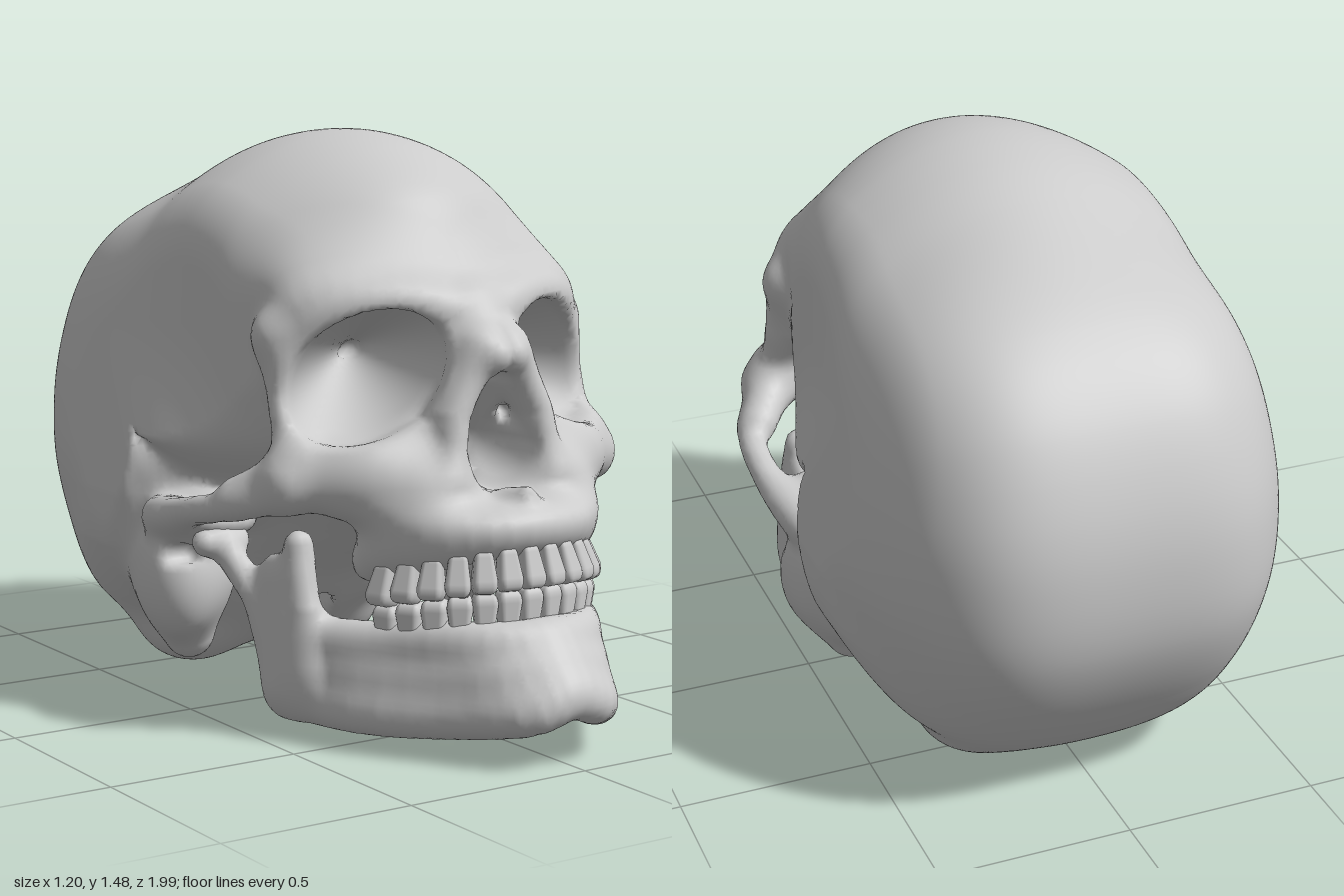
import * as THREE from 'three';
import { RoundedBoxGeometry } from 'three/addons/geometries/RoundedBoxGeometry.js';

const bone = new THREE.MeshStandardMaterial({ color: 0xcccccc, roughness: 0.8 });
const { lerp, smoothstep, clamp } = THREE.MathUtils;

// Distance helpers: negative inside, points are [x, y, z]
const ellipsoid = (p, c, r) =>
  (Math.hypot((p[0] - c[0]) / r[0], (p[1] - c[1]) / r[1], (p[2] - c[2]) / r[2]) - 1) * Math.min(...r);
function capsule(p, a, b, ra, rb = ra) {
  const dx = b[0] - a[0], dy = b[1] - a[1], dz = b[2] - a[2];
  const px = p[0] - a[0], py = p[1] - a[1], pz = p[2] - a[2];
  const t = clamp((px * dx + py * dy + pz * dz) / (dx * dx + dy * dy + dz * dz), 0, 1);
  return Math.hypot(px - dx * t, py - dy * t, pz - dz * t) - lerp(ra, rb, t);
}
function chain(p, points, r) {
  let d = Infinity;
  for (let i = 1; i < points.length; i++) d = Math.min(d, capsule(p, points[i - 1], points[i], r));
  return d;
}
function blend(a, b, k) {
  const h = Math.max(k - Math.abs(a - b), 0) / k;
  return Math.min(a, b) - h * h * k * 0.25;
}
const carve = (a, hole, k) => -blend(-a, hole, k);

// Smooth curve through points, running level across the midline when it starts there
function curved(points) {
  const [x, y, z] = points[1];
  const all = points[0][0] === 0 ? [[-x, y, z], ...points] : points;
  return new THREE.CatmullRomCurve3(all.map((p) => new THREE.Vector3(...p))).getPoints(16).map((p) => p.toArray());
}

// Smooth skin over a distance field: one vertex per crossed cell, one quad per crossed edge
function skin(name, field, min, max, h) {
  const n = min.map((m, i) => Math.ceil((max[i] - m) / h) + 1), step = [1, n[0], n[0] * n[1]];
  const value = new Float32Array(n[0] * n[1] * n[2]), vertex = new Int32Array(value.length);
  const at = (g) => g.map((v, a) => min[a] + v * h);
  const eachCell = (fn) => {
    for (let k = 0, id = 0; k < n[2]; k++)
      for (let j = 0; j < n[1]; j++)
        for (let i = 0; i < n[0]; i++) fn([i, j, k], id++);
  };
  const slope = (q) => new THREE.Vector3(...[0, 1, 2].map((a) => {
    const shifted = (e) => q.map((v, b) => (a === b ? v + e : v));
    return (field(shifted(0.006)) - field(shifted(-0.006))) / 0.012;
  }));
  const positions = [], normals = [], index = [];
  eachCell((g, id) => { value[id] = field(at(g)); });
  eachCell((g, id) => {
    if (g.some((v, a) => v >= n[a] - 1)) return;
    const sum = [0, 0, 0];
    let count = 0;
    for (let c = 0; c < 8; c++) {
      const o = [c & 1, (c >> 1) & 1, c >> 2], corner = id + o[0] + o[1] * step[1] + o[2] * step[2];
      for (let a = 0; a < 3; a++) {
        const v0 = value[corner], v1 = value[corner + step[a]];
        if (o[a] || (v0 < 0) === (v1 < 0)) continue;
        for (let b = 0; b < 3; b++) sum[b] += o[b] + (a === b ? v0 / (v0 - v1) : 0);
        count++;
      }
    }
    if (!count) return;
    const p = at(g.map((v, a) => v + sum[a] / count)), s = slope(p);
    const move = clamp(field(p) / (s.length() || 1), -h / 2, h / 2);
    const q = new THREE.Vector3(...p).addScaledVector(s.normalize(), -move).toArray();
    vertex[id] = positions.length / 3;
    positions.push(...q);
    normals.push(...slope(q).normalize().toArray());
  });
  eachCell((g, id) => {
    for (let a = 0; a < 3; a++) {
      const b = (a + 1) % 3, c = (a + 2) % 3, inside = value[id] < 0;
      if (g[a] >= n[a] - 1 || !g[b] || !g[c] || inside === (value[id + step[a]] < 0)) continue;
      const q = [id - step[b] - step[c], id - step[c], id, id - step[b]].map((v) => vertex[v]);
      if (!inside) q.reverse();
      index.push(q[0], q[1], q[2], q[0], q[2], q[3]);
    }
  });
  const geometry = new THREE.BufferGeometry().setIndex(index);
  geometry.setAttribute('position', new THREE.Float32BufferAttribute(positions, 3));
  geometry.setAttribute('normal', new THREE.Float32BufferAttribute(normals, 3));
  return Object.assign(new THREE.Mesh(geometry, bone), { name });
}

// Braincase: midline profile [z, y] turned into a radius per angle, domed across and cut by the side walls
const CZ = -0.2, CY = 0.72, BINS = 240;
const profile = [[0.55, 1.08], [0.46, 1.22], [0.36, 1.36], [0.2, 1.45], [0, 1.49], [-0.2, 1.475], [-0.37, 1.42],
  [-0.71, 1.25], [-0.87, 1.09], [-0.97, 0.88], [-1, 0.7], [-0.98, 0.5], [-0.88, 0.29], [-0.71, 0.09], [-0.5, 0.04],
  [-0.35, 0.07], [-0.22, 0.15], [-0.08, 0.3], [0.08, 0.42], [0.25, 0.55], [0.42, 0.72], [0.5, 0.9]];
const outline = new THREE.CatmullRomCurve3(profile.map(([z, y]) => new THREE.Vector3(0, y - CY, z - CZ)), true);
const turn = (z, y) => ((Math.atan2(y, z) / (2 * Math.PI) + 1) % 1) * BINS;
const radii = new Array(BINS).fill(0);
for (const p of outline.getPoints(6000)) radii[Math.round(turn(p.z, p.y)) % BINS] = p.length();

function braincase([x, y, z]) {
  const dz = z - CZ, dy = y - CY, r = Math.hypot(dz, dy) + 1e-6, t = turn(dz, dy), i = Math.floor(t);
  const edge = lerp(radii[i % BINS], radii[(i + 1) % BINS], t - i);
  const rear = smoothstep(-dz / r, 0.2, 0.9), front = smoothstep(dz / r, 0.2, 0.9);
  const drop = lerp((1 + 0.3 * front) * x * x, 4 * x ** 4, rear);
  const low = 0.2 * (1 - smoothstep(y, 0.6, 1));
  const rearWall = 0.587 - 0.165 * Math.max(0, y - 0.55) - 0.35 * Math.max(0, 0.4 - y);
  const frontWall = 0.468 - 0.06 * smoothstep(z, 0.1, 0.4);
  const wall = x - lerp(rearWall, frontWall, smoothstep(z, -0.4 + low, 0.1 + low));
  return carve((r + drop - edge) * 0.9, -wall, 0.1);
}

// Cranium with face: bones blended together, then openings carved
const brow = curved([[0, 1.06, 0.54], [0.2, 1.085, 0.48], [0.35, 1.07, 0.385], [0.43, 1.0, 0.315]]);
const cheekPost = [[0.43, 1.0, 0.315], [0.415, 0.86, 0.335], [0.43, 0.74, 0.4]];
const lowerRim = [[0.42, 0.72, 0.44], [0.27, 0.715, 0.54], [0.15, 0.79, 0.585], [0.08, 0.97, 0.58]];
const noseSide = [[0.05, 0.98, 0.63], [0.125, 0.82, 0.64], [0.15, 0.68, 0.66]];
const upperGum = curved([[0, 0.545, 0.77], [0.12, 0.535, 0.74], [0.22, 0.51, 0.645], [0.265, 0.48, 0.54], [0.27, 0.46, 0.5]]);
const arch = curved([[0.47, 0.63, 0.42], [0.55, 0.59, 0.28], [0.565, 0.555, 0.12], [0.55, 0.53, 0], [0.53, 0.51, -0.1]]);

function cranium([sx, y, z]) {
  const x = Math.abs(sx), p = [x, y, z];
  let d = braincase(p);
  const add = (part, k = 0.05) => { d = blend(d, part, k); };
  // base lobes and bone behind the ear
  add(ellipsoid(p, [0.22, 0.12, -0.48], [0.14, 0.11, 0.16]), 0.08);
  add(ellipsoid(p, [0.43, 0.36, -0.16], [0.13, 0.18, 0.17]), 0.08);
  add(ellipsoid(p, [0.5, 0.33, -0.06], [0.08, 0.13, 0.09]), 0.07);
  add(capsule(p, [0.46, 0.3, -0.12], [0.42, 0.17, -0.14], 0.08, 0.06), 0.06);
  // jaw socket, cheek arch and cheekbone
  add(ellipsoid(p, [0.44, 0.51, 0], [0.12, 0.06, 0.13]), 0.06);
  add(chain(p, arch, 0.036));
  add(capsule(p, [0.45, 0.67, 0.4], [0.52, 0.62, 0.29], 0.065, 0.045));
  add(capsule(p, [0.3, 0.65, 0.52], [0.45, 0.665, 0.42], 0.075, 0.07));
  // forehead, brow and solid cone around the eye socket
  const eye = [x + 0.25 * (y - 0.915), (y - 0.915 + 0.1 * (x - 0.27)) * 1.15, z];
  const inFront = (x - 0.27) * 0.447 + (z - 0.47) * 0.894;
  add(ellipsoid(p, [0.2, 1.1, 0.31], [0.22, 0.12, 0.14]), 0.1);
  add(carve(capsule(eye, [0.27, 0, 0.47], [0.11, 0, 0.15], 0.22, 0.08), -inFront, 0.04));
  add(chain(p, brow, 0.04), 0.08);
  add(chain(p, cheekPost, 0.042), 0.06);
  add(chain(p, lowerRim, 0.035), 0.06);
  // nose, upper jaw, palate and the plates behind it
  add(ellipsoid(p, [0, 0.88, 0.42], [0.11, 0.17, 0.18]));
  add(capsule(p, [0, 1.05, 0.535], [0.02, 0.965, 0.665], 0.055, 0.036), 0.06);
  add(chain(p, noseSide, 0.035), 0.06);
  add(ellipsoid(p, [0.22, 0.68, 0.5], [0.18, 0.12, 0.13]), 0.06);
  add(ellipsoid(p, [0.17, 0.6, 0.57], [0.14, 0.14, 0.15]), 0.06);
  add(ellipsoid(p, [0, 0.58, 0.58], [0.24, 0.05, 0.19]));
  add(chain(p, upperGum, 0.05), 0.08);
  add(capsule(p, [0.13, 0.64, 0.38], [0.13, 0.46, 0.4], 0.07, 0.04));
  // openings: eye, nose, base and ear canal
  d = carve(d, capsule(eye, [0.27, 0, 0.47], [0.11, 0, 0.15], 0.185, 0.03), 0.03);
  d = carve(d, capsule([x, y, (z - 0.62) * 0.45], [0, 0.89, 0], [0, 0.745, 0], 0.035, 0.105), 0.015);
  d = carve(d, capsule(p, [0, -0.1, -0.27], [0, 0.24, -0.25], 0.08), 0.03);
  d = carve(d, capsule(p, [0.65, 0.42, 0], [0.5, 0.42, 0], 0.025), 0.02);
  // septum and spine of the nose
  add(capsule([x, (y - 0.76) * 0.2, z], [0, 0, 0.36], [0, 0, 0.47], 0.024), 0.03);
  return blend(d, capsule(p, [0, 0.61, 0.7], [0, 0.64, 0.765], 0.03, 0.016), 0.05);
}

// Lower jaw: body between base and gum, upright plate with two horns, hinge head
const base = [[0, 0.175, 0.94], [0.09, 0.145, 0.92], [0.2, 0.115, 0.76], [0.33, 0.1, 0.55], [0.395, 0.1, 0.32]];
const gum = [[0, 0.31, 0.845], [0.12, 0.305, 0.81], [0.21, 0.3, 0.71], [0.29, 0.28, 0.56], [0.36, 0.275, 0.43]];
const middle = base.map((p, i) => p.map((v, a) => (v + gum[i][a]) / 2));
const [jawBase, jawMiddle, lowerGum] = [base, middle, gum].map(curved);
function mandible([sx, y, z]) {
  const x = Math.abs(sx), p = [x, y, z], plate = [(x - 0.41) * 2.2, y, z];
  let d = chain(p, jawBase, 0.053);
  d = blend(d, chain(p, jawMiddle, 0.042), 0.09);
  d = blend(d, chain(p, lowerGum, 0.043), 0.09);
  d = blend(d, capsule(plate, [0, 0.375, 0.295], [0, 0.17, 0.35], 0.085, 0.1), 0.05);
  d = blend(d, chain(p, [[0.395, 0.49, 0.36], [0.4, 0.34, 0.395], [0.4, 0.14, 0.36]], 0.037), 0.06);
  d = blend(d, chain(p, [[0.46, 0.46, 0.1], [0.43, 0.34, 0.215], [0.405, 0.13, 0.3]], 0.036), 0.06);
  return blend(d, capsule(p, [0.42, 0.465, 0.1], [0.51, 0.465, 0.1], 0.034), 0.04);
}

// Teeth: rounded blocks narrowing to the root, set around an arch
function toothRow(name, upper) {
  const geometry = new RoundedBoxGeometry(1, 1, 1, 2, 0.25), pos = geometry.attributes.position;
  for (let i = 0; i < pos.count; i++) {
    const f = 1 - 0.35 * smoothstep(pos.getY(i), -0.2, 0.5);
    pos.setXYZ(i, pos.getX(i) * f, pos.getY(i), pos.getZ(i) * f);
  }
  const row = Object.assign(new THREE.Group(), { name });
  const size = upper ? 1 : 0.96;
  for (let i = 0; i < 14; i++) {
    const t = (i - 6.5) * 0.19, back = Math.abs(Math.sin(t));
    const x = 0.305 * size * Math.sin(t), z = 0.47 + 0.36 * size * Math.cos(t);
    const bite = 0.425 - 0.24 * (0.83 - z);
    const tooth = Object.assign(new THREE.Mesh(geometry, bone), { name: 'tooth' });
    tooth.rotation.set(upper ? -0.28 : 0, t, upper ? 0 : Math.PI, 'YXZ');
    tooth.scale.set(0.058 + 0.01 * back, upper ? 0.115 : 0.11, 0.05 + 0.025 * back);
    tooth.position.set(x, bite + (upper ? 0.055 : -0.052), z - (upper ? 0.01 : 0));
    row.add(tooth);
  }
  return row;
}

export function createModel() {
  const model = Object.assign(new THREE.Group(), { name: 'skull' });
  model.add(skin('cranium', cranium, [-0.648, -0.05, -1.05], [0.648, 1.55, 0.88], 0.018));
  model.add(skin('lowerJaw', mandible, [-0.594, 0, 0], [0.594, 0.6, 1.05], 0.018));
  model.add(toothRow('upperTeeth', true), toothRow('lowerTeeth', false));
  return model;
}
